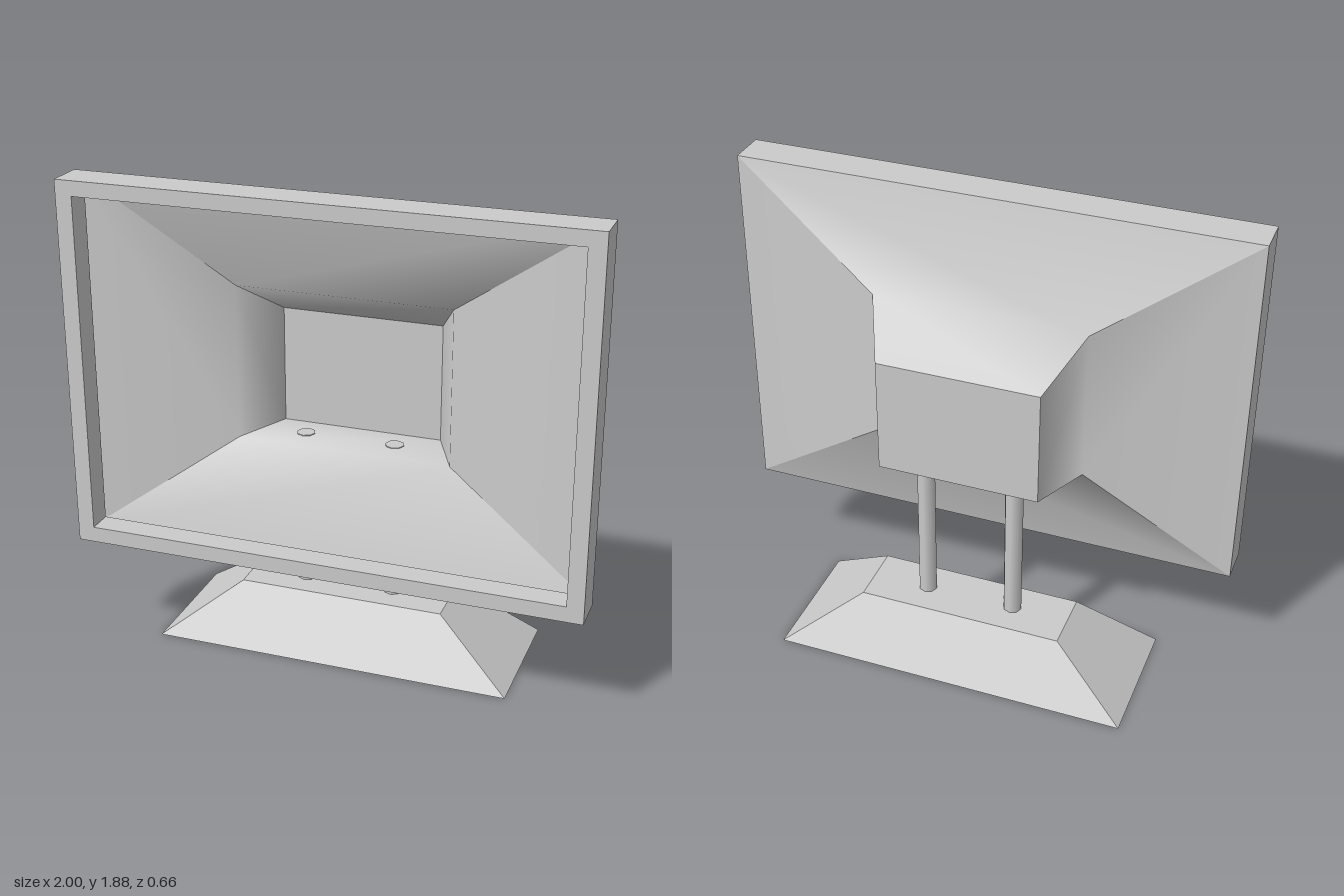
import * as THREE from 'three';

const material = new THREE.MeshStandardMaterial({ color: 0xcccccc, side: THREE.DoubleSide });

// Rectangular ring of four corners, counter-clockwise seen from the front
const ring = (x0, x1, y0, y1, z) => [[x0, y0, z], [x1, y0, z], [x1, y1, z], [x0, y1, z]];

// Skins each of the four sides through a list of rings; a side is smooth along its length
function loft(rings, flip = false) {
  const pos = [], index = [];
  for (let s = 0; s < 4; s++) {
    const start = pos.length / 3;
    for (const r of rings) pos.push(...r[s], ...r[(s + 1) % 4]);
    for (let i = 0; i < rings.length - 1; i++) {
      const a = start + i * 2, b = a + 1, c = a + 2, d = a + 3;
      if (flip) index.push(a, b, c, b, d, c);
      else index.push(a, c, b, b, c, d);
    }
  }
  const geo = new THREE.BufferGeometry();
  geo.setAttribute('position', new THREE.Float32BufferAttribute(pos, 3));
  geo.setIndex(index);
  geo.computeVertexNormals();
  return geo;
}

export function createModel() {
  const model = new THREE.Group();
  const add = (name, geo, parent = model) => {
    const mesh = new THREE.Mesh(geo, material);
    mesh.name = name;
    parent.add(mesh);
    return mesh;
  };

  // Hollow screen housing, open at the front
  const housing = new THREE.Group();
  housing.name = 'screenHousing';
  model.add(housing);

  const outerFront = ring(-1, 1, 0.44, 1.88, 0.33);
  const outerBack = ring(-1, 1, 0.44, 1.88, 0.178);
  const innerFront = ring(-0.935, 0.935, 0.502, 1.822, 0.33);
  const innerBack = ring(-0.935, 0.935, 0.502, 1.822, 0.23);
  const neck = ring(-0.42, 0.42, 0.855, 1.465, 0.067);
  const rear = ring(-0.318, 0.318, 0.855, 1.318, -0.157);

  add('frameOuterWall', loft([outerFront, outerBack].reverse(), true).scale(1, 1, 1), housing);
  add('frameFace', loft([innerFront, outerFront]), housing);
  add('frameInnerLip', loft([innerBack, innerFront]), housing);
  add('backShell', loft([rear, neck, outerBack], true), housing);

  const panel = add('rearPanel', new THREE.PlaneGeometry(0.636, 0.463), housing);
  panel.rotation.y = Math.PI;
  panel.position.set(0, 1.0865, -0.157);

  // Pair of support posts
  for (const [name, x] of [['rightPost', -0.193], ['leftPost', 0.167]]) {
    const post = add(name, new THREE.CylinderGeometry(0.037, 0.037, 0.636, 8));
    post.position.set(x, 0.54, -0.055);
  }

  // Tapered foot: a box whose top corners are drawn inwards
  const foot = new THREE.BoxGeometry(1, 1, 1);
  const p = foot.attributes.position;
  for (let i = 0; i < p.count; i++) {
    const top = p.getY(i) > 0;
    p.setXYZ(i,
      -0.013 + p.getX(i) * (top ? 0.82 : 1.424),
      top ? 0.228 : 0,
      -0.06 + p.getZ(i) * (top ? 0.25 : 0.544));
  }
  foot.computeVertexNormals();
  add('foot', foot);

  return model;
}
